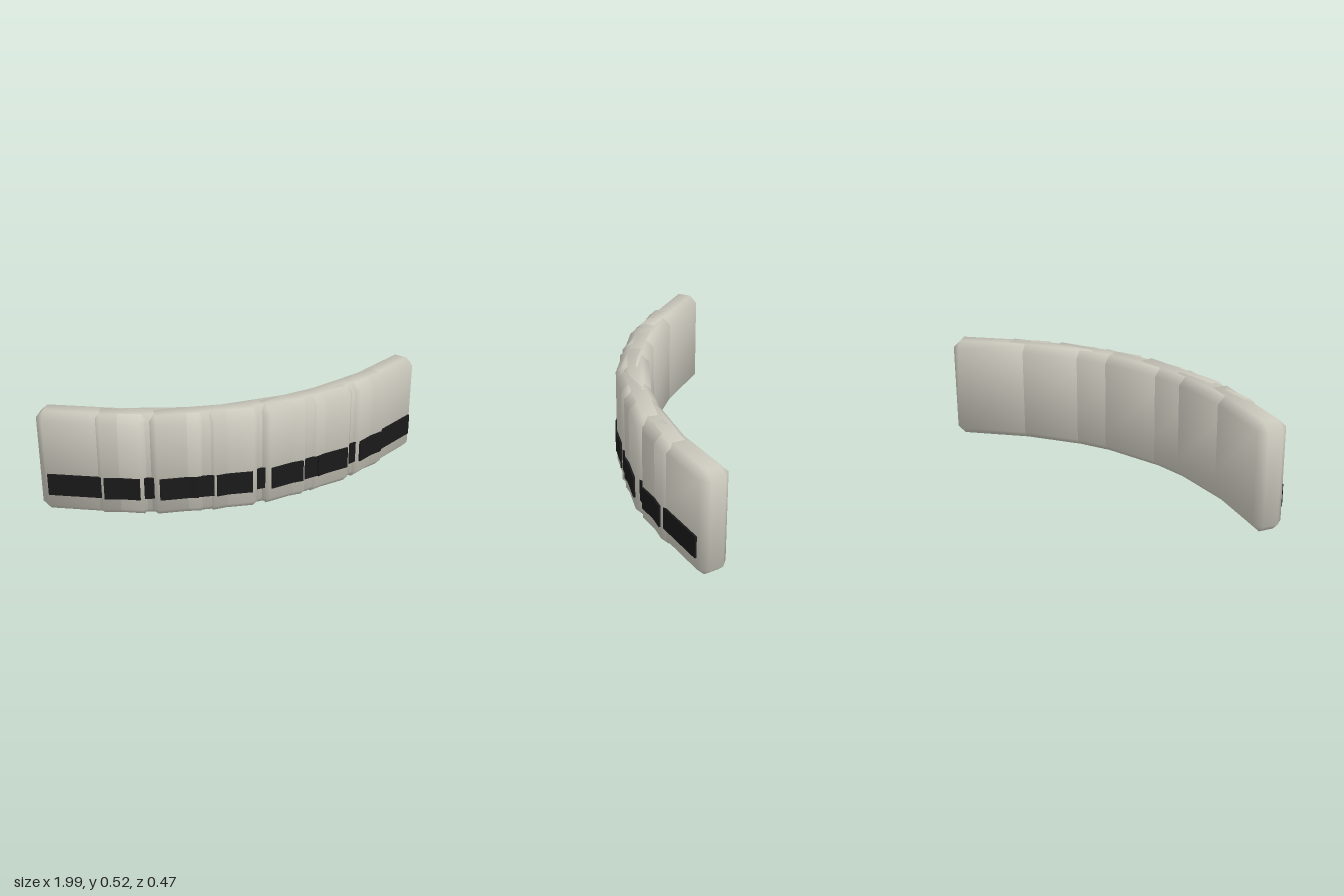
import * as THREE from 'three';
import { mergeVertices } from 'three/addons/utils/BufferGeometryUtils.js';
import { ConvexGeometry } from 'three/addons/geometries/ConvexGeometry.js';

const HEIGHT = 0.52, LENGTH = 0.54, DEPTH = 0.145, BEVEL = 0.037, STRIP_OUT = 0.009;

// Box with one-step bevels on every edge and softly blended normals
function bevelledBox(w, h, d, bevel) {
  const half = [w / 2, h / 2, d / 2];
  const points = [];
  for (const sx of [-1, 1]) for (const sy of [-1, 1]) for (const sz of [-1, 1]) {
    const sign = [sx, sy, sz];
    for (let axis = 0; axis < 3; axis++) {
      points.push(new THREE.Vector3(...sign.map((s, i) => s * (half[i] - (i === axis ? 0 : bevel)))));
    }
  }
  let geometry = new ConvexGeometry(points);
  geometry.deleteAttribute('normal');
  geometry = mergeVertices(geometry, 1e-5);
  const pos = geometry.attributes.position;
  const normals = [];
  for (let i = 0; i < pos.count; i++) {
    const p = [pos.getX(i), pos.getY(i), pos.getZ(i)];
    const n = p.map((v, k) => Math.sign(v) * (Math.abs(v) > half[k] - 1e-4 ? 1 : 0.39));
    normals.push(...new THREE.Vector3(...n).normalize().toArray());
  }
  geometry.setAttribute('normal', new THREE.Float32BufferAttribute(normals, 3));
  return geometry;
}

export function createModel() {
  const model = new THREE.Group();
  model.name = 'curvedBumper';

  const shell = new THREE.MeshStandardMaterial({ color: 0xcbc9bd });
  shell.name = 'warmGrey';
  const rubber = new THREE.MeshStandardMaterial({ color: 0x1a1a1a });
  rubber.name = 'black';

  const bodyGeometry = bevelledBox(LENGTH, HEIGHT, DEPTH, BEVEL);
  const stripGeometry = new THREE.BoxGeometry(0.45, 0.11, 0.0095);

  // One overlapping segment; x and z mark the middle of its strip's outer face
  function addSegment(x, z, degrees) {
    const segment = new THREE.Group();
    segment.name = 'segment';
    segment.position.set(x, 0, z);
    segment.rotation.y = THREE.MathUtils.degToRad(degrees);

    const body = new THREE.Mesh(bodyGeometry, shell);
    body.name = 'bumperBlock';
    body.position.set(0, HEIGHT / 2, -STRIP_OUT - DEPTH / 2);

    const strip = new THREE.Mesh(stripGeometry, rubber);
    strip.name = 'rubStrip';
    strip.position.set(0, 0.15, -0.00475);

    segment.add(body, strip);
    model.add(segment);
  }

  // Centre segment, then mirrored pairs turning back towards the ends
  addSegment(0, 0.211, 0);
  for (const [x, z, angle] of [[0.272, 0.193, 10], [0.527, 0.12, 19], [0.781, 0.011, 28.2]]) {
    addSegment(x, z, angle);
    addSegment(-x, z, -angle);
  }
  return model;
}
